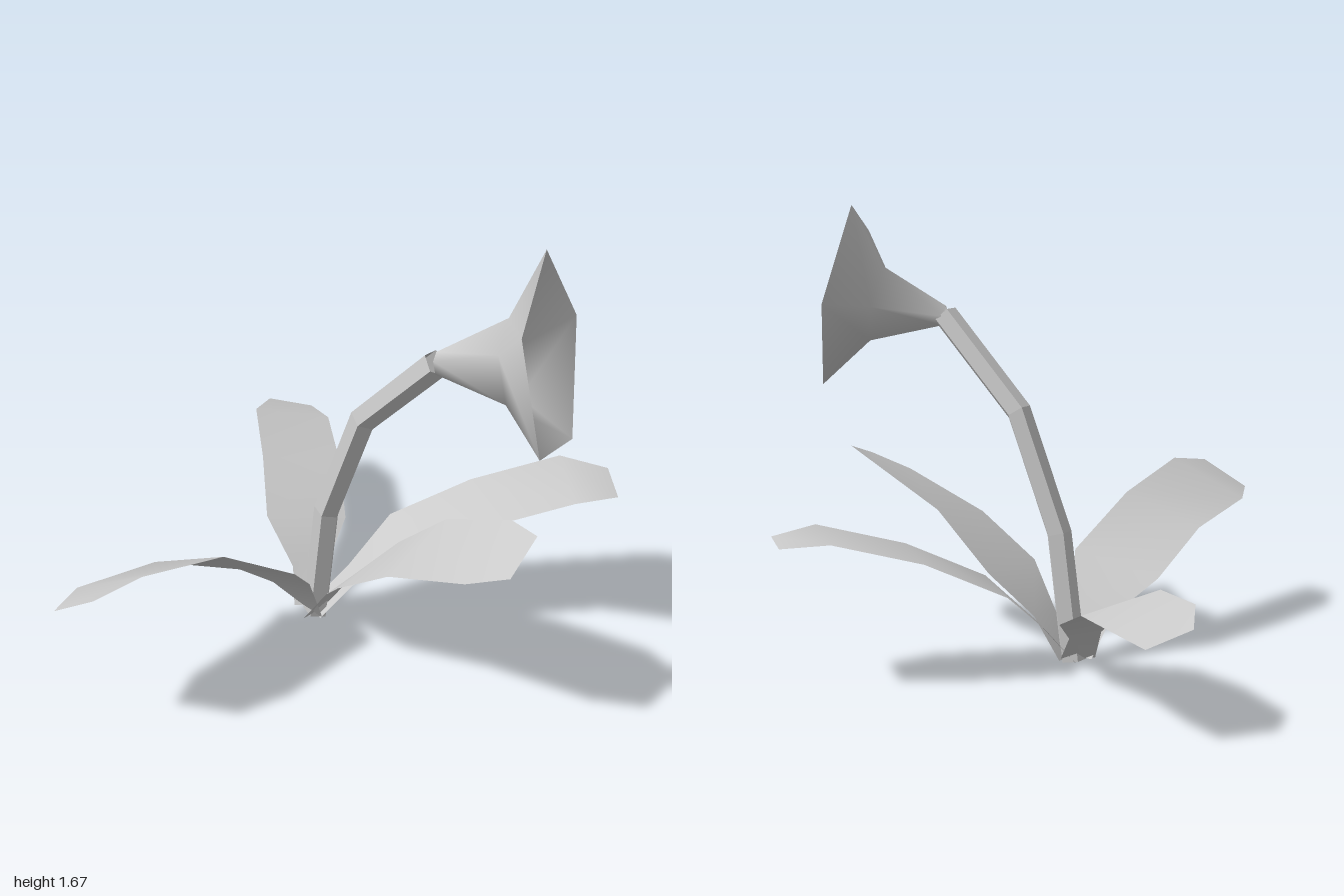
import * as THREE from 'three';

const V = (p) => new THREE.Vector3(...p);

// Skin a list of cross-sections (each a list of Vector3) into one surface
function loft(name, sections, closed, flatShading = false) {
  const n = sections[0].length;
  const pos = sections.flat().flatMap((p) => p.toArray());
  const index = [];
  for (let i = 0; i < sections.length - 1; i++) {
    for (let j = 0; j < (closed ? n : n - 1); j++) {
      const k = (j + 1) % n;
      const a = i * n + j, b = i * n + k, c = a + n, d = b + n;
      index.push(a, b, c, b, d, c);
    }
  }
  const geo = new THREE.BufferGeometry();
  geo.setAttribute('position', new THREE.Float32BufferAttribute(pos, 3));
  geo.setIndex(index);
  geo.computeVertexNormals();
  const mesh = new THREE.Mesh(geo, new THREE.MeshStandardMaterial({
    color: 0xcccccc, side: THREE.DoubleSide, flatShading,
  }));
  mesh.name = name;
  return mesh;
}

// Leaf: rows of [one edge point, other edge point] from base to tip
const leaf = (name, rows) => loft(name, rows.map((r) => r.map(V)), false);

export function createModel() {
  const group = new THREE.Group();
  group.name = 'flowerPlant';

  // Right leaf: straight strip, given as x, y, half width about z = 0.07
  const rightRows = [
    [-0.08, 0.01, 0.075], [0.04, 0.15, 0.075], [0.2, 0.3, 0.175],
    [0.5, 0.44, 0.175], [0.83, 0.53, 0.175], [1, 0.51, 0.105],
  ].map(([x, y, w]) => [[x, y, 0.07 + w], [x, y, 0.07 - w]]);
  group.add(leaf('rightLeaf', rightRows));

  // Twisted leaves
  group.add(leaf('frontLeaf', [
    [[-0.14, 0.01, 0.14], [-0.03, 0.01, 0.04]],
    [[-0.06, 0.16, 0.21], [0.05, 0.17, 0.1]],
    [[-0.03, 0.31, 0.4], [0.21, 0.33, 0.14]],
    [[0.13, 0.47, 0.58], [0.36, 0.54, 0.33]],
    [[0.36, 0.6, 0.84], [0.55, 0.68, 0.58]],
    [[0.5, 0.66, 0.91], [0.61, 0.72, 0.75]],
  ]));
  group.add(leaf('leftLeaf', [
    [[-0.15, 0.01, 0.03], [-0.07, 0.01, 0.14]],
    [[-0.25, 0.15, 0.1], [-0.12, 0.2, 0.2]],
    [[-0.44, 0.27, 0.14], [-0.18, 0.35, 0.36]],
    [[-0.67, 0.41, 0.34], [-0.43, 0.53, 0.51]],
    [[-0.93, 0.465, 0.57], [-0.7, 0.61, 0.74]],
    [[-1, 0.48, 0.73], [-0.86, 0.58, 0.83]],
  ]));
  group.add(leaf('backLeaf', [
    [[-0.04, 0.01, 0.06], [-0.17, 0.01, 0.05]],
    [[-0.04, 0.12, -0.06], [-0.17, 0.13, -0.03]],
    [[0.04, 0.22, -0.22], [-0.26, 0.27, -0.17]],
    [[0.035, 0.32, -0.48], [-0.265, 0.38, -0.43]],
    [[0.01, 0.34, -0.8], [-0.28, 0.41, -0.76]],
    [[-0.05, 0.32, -0.94], [-0.22, 0.37, -0.92]],
  ]));

  // Faceted stem bending toward the front right
  const path = [[-0.09, 0, 0.07], [-0.05, 0.47, 0.125], [0.07, 0.91, 0.25], [0.29, 1.245, 0.495]].map(V);
  const side = V([-0.75, 0, 0.66]);
  const stemRings = path.map((p, i) => {
    const before = path[Math.max(i - 1, 0)];
    const after = path[Math.min(i + 1, path.length - 1)];
    const out = after.clone().sub(before).normalize().cross(side).normalize();
    return Array.from({ length: 5 }, (_, j) => {
      const a = (j / 5) * Math.PI * 2 + Math.PI / 2;
      return p.clone().addScaledVector(side, 0.046 * Math.cos(a)).addScaledVector(out, 0.05 * Math.sin(a));
    });
  });
  group.add(loft('stem', stemRings, true, true));

  // Five-sided trumpet: the rim outline shrinks along the axis to the throat
  const rimCentre = V([0.644, 1.324, 0.656]);
  const rim = [
    [0.5, 1.535, 0.91], [0.63, 1.66, 0.53], [0.78, 1.32, 0.32],
    [0.74, 0.99, 0.58], [0.57, 1.12, 0.94],
  ].map((p) => V(p).sub(rimCentre));
  const bloomRings = [
    [[0.29, 1.245, 0.5], 0.11], [[0.52, 1.29, 0.605], 0.42], [rimCentre.toArray(), 1],
  ].map(([c, s]) => rim.map((d) => V(c).addScaledVector(d, s)));
  group.add(loft('blossom', bloomRings, true));

  return group;
}
